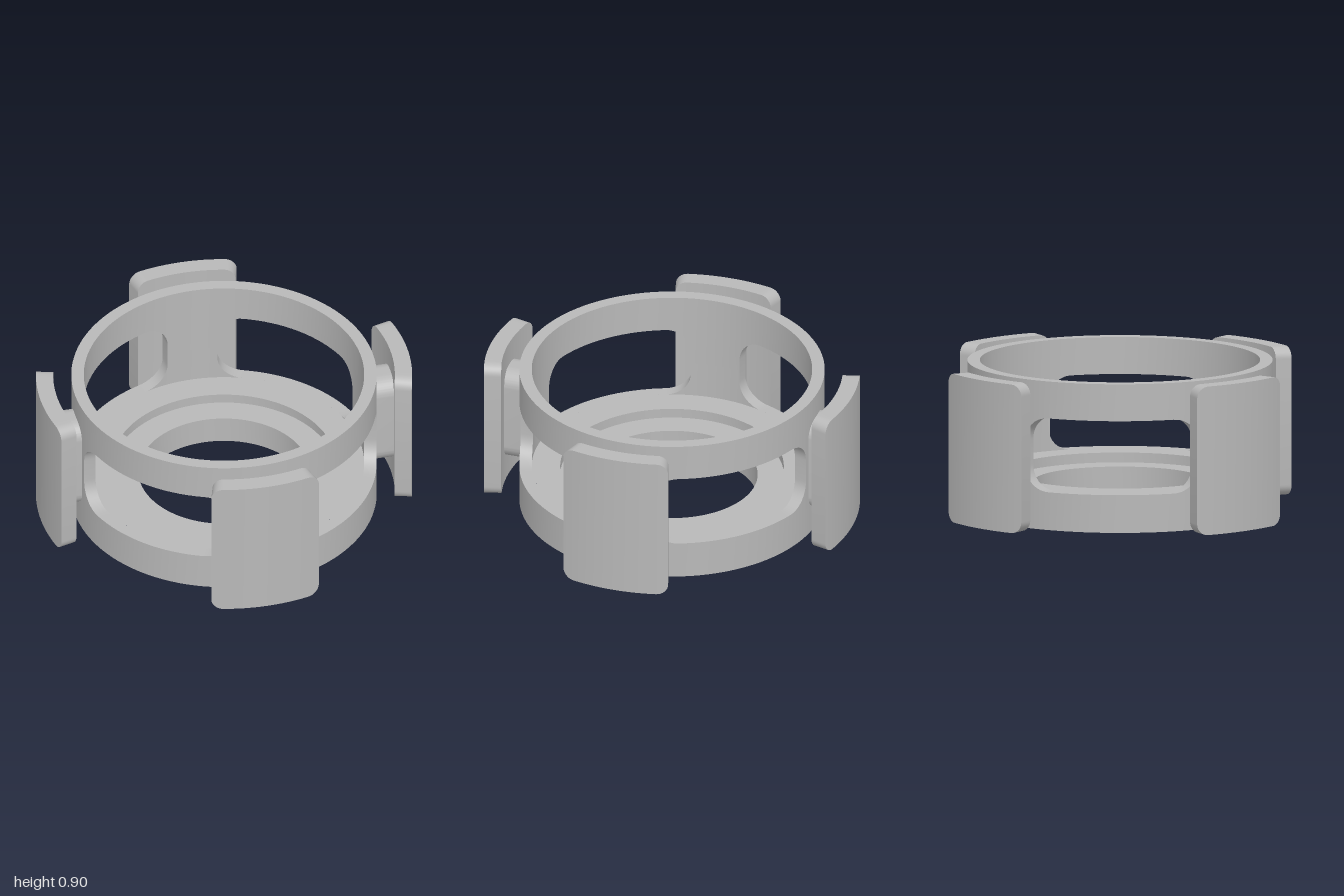
import * as THREE from 'three';
import { toCreasedNormals } from 'three/addons/utils/BufferGeometryUtils.js';

const HEIGHT = 0.905, MID = 0.455;
const RING_IN = 0.843, RING_OUT = 0.918;

// Curved wall around the y axis, from columns { a: angle, lo, hi }.
function curvedWall(columns, rIn, rOut, { capTop = true, capBottom = true, closed = false }) {
  const pos = [];
  const point = (r, a, y) => new THREE.Vector3(r * Math.sin(a), y, r * Math.cos(a));
  const tri = (...p) => {
    const area = p[1].clone().sub(p[0]).cross(p[2].clone().sub(p[0])).length();
    if (area > 1e-9) p.forEach((v) => pos.push(v.x, v.y, v.z));
  };
  const quad = (a, b, c, d) => { tri(a, b, c); tri(a, c, d); };
  const corners = (c) => ({
    ol: point(rOut, c.a, c.lo), oh: point(rOut, c.a, c.hi),
    il: point(rIn, c.a, c.lo), ih: point(rIn, c.a, c.hi),
  });
  for (let i = 0; i < columns.length - 1; i++) {
    const p = corners(columns[i]), q = corners(columns[i + 1]);
    if (columns[i + 1].a - columns[i].a > 1e-6) {
      quad(p.ol, q.ol, q.oh, p.oh);
      quad(q.il, p.il, p.ih, q.ih);
    }
    const seam = (y1, y2) => y1 === MID && y2 === MID;
    if (capTop && !seam(columns[i].hi, columns[i + 1].hi)) quad(p.oh, q.oh, q.ih, p.ih);
    if (capBottom && !seam(columns[i].lo, columns[i + 1].lo)) quad(q.ol, p.ol, p.il, q.il);
  }
  if (!closed) {
    const s = corners(columns[0]), e = corners(columns[columns.length - 1]);
    quad(e.ol, e.il, e.ih, e.oh);
    quad(s.il, s.ol, s.oh, s.ih);
  }
  const geo = new THREE.BufferGeometry();
  geo.setAttribute('position', new THREE.Float32BufferAttribute(pos, 3));
  return toCreasedNormals(geo, 0.5);
}

// Angles and half-heights of the four rounded windows around the ring.
function windowColumns() {
  const W = 0.602, F = 0.178, H = 0.225, R = 0.15, half = [];
  for (let i = 0; i <= 8; i++) half.push([(W - F) * i / 8, H]);
  for (let i = 1; i <= 10; i++) {
    const t = (i / 10) * Math.PI / 2;
    half.push([W - F + F * Math.sin(t), H - R + R * Math.cos(t)]);
  }
  for (let i = 0; i <= 4; i++) half.push([W + (Math.PI / 4 - W) * i / 4, 0]);
  const one = [...half.slice(1).reverse().map(([a, h]) => [-a, h]), ...half];
  const all = [];
  for (let k = 0; k < 4; k++) {
    one.forEach(([a, h], i) => {
      if (k === 0 || i > 0) all.push([a + k * Math.PI / 2, h]);
    });
  }
  return all;
}

// Columns of a pad with rounded corners, centred on angle 0.
function padColumns() {
  const A = 0.298, r = 0.07, f = r / 1.08, cols = [];
  const add = (a, inset) => cols.push({ a, lo: inset, hi: HEIGHT - inset });
  for (let i = 0; i <= 8; i++) {
    const t = (i / 8) * Math.PI / 2;
    add(-A + f * (1 - Math.cos(t)), r * (1 - Math.sin(t)));
  }
  for (let i = 1; i < 12; i++) add((A - f) * (i / 6 - 1), 0);
  for (let i = 8; i >= 0; i--) {
    const t = (i / 8) * Math.PI / 2;
    add(A - f * (1 - Math.cos(t)), r * (1 - Math.sin(t)));
  }
  return cols;
}

// Rounded block joining a pad to the ring.
function connectorGeometry() {
  const w = 0.135, h = 0.3, r = 0.1;
  const s = new THREE.Shape();
  s.absarc(w - r, h - r, r, 0, Math.PI / 2);
  s.absarc(-w + r, h - r, r, Math.PI / 2, Math.PI);
  s.absarc(-w + r, -h + r, r, Math.PI, Math.PI * 1.5);
  s.absarc(w - r, -h + r, r, Math.PI * 1.5, Math.PI * 2);
  const geo = new THREE.ExtrudeGeometry(s, { depth: 0.18, bevelEnabled: false, curveSegments: 10 });
  geo.translate(0, MID, 0.88);
  return toCreasedNormals(geo, 0.5);
}

export function createModel() {
  const grey = new THREE.MeshStandardMaterial({ color: 0xb8b8b8 });
  grey.name = 'grey';
  const model = new THREE.Group();
  model.name = 'windowedRing';
  const add = (name, geo, parent = model) => {
    const mesh = new THREE.Mesh(geo, grey);
    mesh.name = name;
    parent.add(mesh);
  };

  // Ring wall with four windows, in halves meeting at mid-height of the pillars
  const cols = windowColumns();
  add('upperRing', curvedWall(cols.map(([a, h]) => ({ a, lo: MID + h, hi: HEIGHT })),
    RING_IN, RING_OUT, { closed: true }));
  add('lowerRing', curvedWall(cols.map(([a, h]) => ({ a, lo: 0, hi: MID - h })),
    RING_IN, RING_OUT, { closed: true }));

  // Floor with a stepped round hole
  const profile = [[RING_IN, 0.23], [0.672, 0.23], [0.672, 0.17], [0.515, 0.17], [0.515, 0], [RING_IN, 0]]
    .map(([x, y]) => new THREE.Vector2(x, y));
  add('floor', toCreasedNormals(new THREE.LatheGeometry(profile, 128), 0.5));

  // Four outer pads on connectors, at the diagonals
  const pad = curvedWall(padColumns(), 1.027, 1.131, {});
  const connector = connectorGeometry();
  for (let k = 0; k < 4; k++) {
    const arm = new THREE.Group();
    arm.name = 'padArm' + (k + 1);
    arm.rotation.y = Math.PI / 4 + k * Math.PI / 2;
    add('pad', pad, arm);
    add('connector', connector, arm);
    model.add(arm);
  }
  return model;
}
